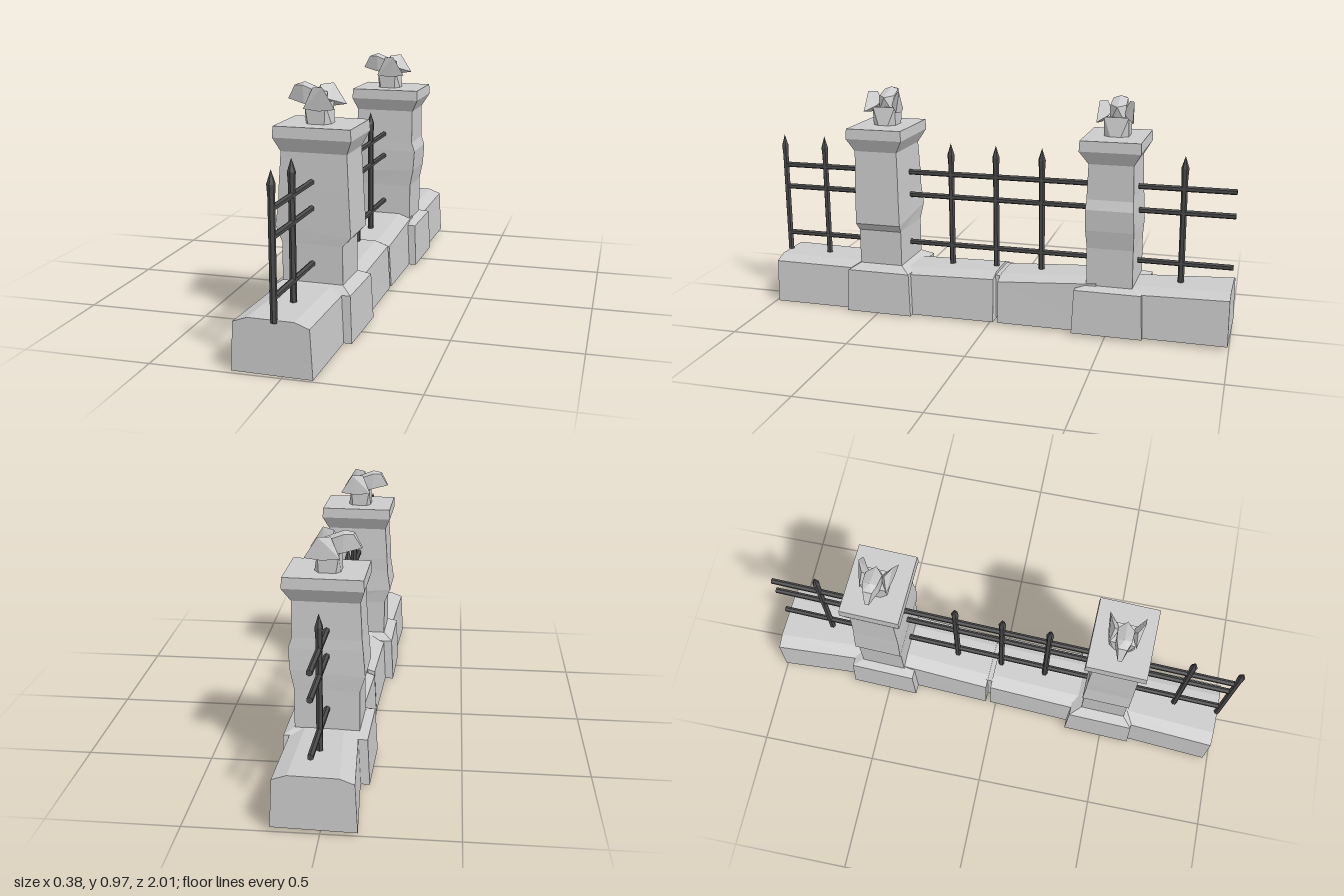
import * as THREE from 'three';
import { ConvexGeometry } from 'three/addons/geometries/ConvexGeometry.js';

const stone = new THREE.MeshStandardMaterial({ color: 0xcccccc, flatShading: true, side: THREE.DoubleSide });
const iron = new THREE.MeshStandardMaterial({ color: 0x4a4a4a, flatShading: true });

function addMesh(parent, name, geometry, material, x = 0, y = 0, z = 0) {
  const mesh = new THREE.Mesh(geometry, material);
  mesh.name = name;
  mesh.position.set(x, y, z);
  parent.add(mesh);
  return mesh;
}

// Joins matching rings of [x, y, z] points into a skin with capped ends.
function loft(rings, closed) {
  const pos = [];
  const tri = (a, b, c) => pos.push(...a, ...b, ...c);
  const n = rings[0].length;
  for (let r = 0; r < rings.length - 1; r++) {
    const a = rings[r], b = rings[r + 1];
    for (let i = 0; i < (closed ? n : n - 1); i++) {
      const j = (i + 1) % n;
      tri(a[i], a[j], b[j]);
      tri(a[i], b[j], b[i]);
    }
  }
  const first = rings[0], last = rings[rings.length - 1];
  for (let i = 1; i < n - 1; i++) {
    tri(first[0], first[i + 1], first[i]);
    tri(last[0], last[i], last[i + 1]);
  }
  const geo = new THREE.BufferGeometry();
  geo.setAttribute('position', new THREE.Float32BufferAttribute(pos, 3));
  geo.computeVertexNormals();
  return geo;
}

// Wall profile with chamfered top and open underside.
const wallRing = ([z, x0, x1, h]) => [
  [x1, 0, z], [x1 - 0.01, h - 0.02, z], [x1 - 0.065, h, z],
  [x0 + 0.065, h, z], [x0 + 0.01, h - 0.02, z], [x0, 0, z],
];

// Pillar ring: height, x range, z range, sideways lean of the course.
const pillarRing = ([y, x0, x1, z0, z1, lean = 0]) =>
  [[x1, z1], [x1, z0], [x0, z0], [x0, z1]].map(([x, z]) => [x, y + lean * x, z]);

// Carved finial: neck, beaked head and two spread wings.
function makeFinial() {
  const finial = new THREE.Group();
  finial.name = 'finial';
  const hull = (name, pts) =>
    addMesh(finial, name, new ConvexGeometry(pts.map((p) => new THREE.Vector3(...p))), stone);
  const neck = [];
  for (const s of [-1, 1]) {
    neck.push([-0.028, 0, s * 0.05], [0.035, 0, s * 0.05], [0.055, 0, s * 0.02],
      [-0.045, 0, s * 0.025], [-0.04, 0.07, s * 0.05], [0.04, 0.08, s * 0.05]);
  }
  hull('neck', neck);
  const head = [[-0.055, 0.155, 0], [0.035, 0.12, 0]];
  for (const s of [-1, 1]) {
    head.push([-0.12, 0.09, s * 0.008], [-0.09, 0.143, s * 0.018], [-0.055, 0.145, s * 0.03],
      [0, 0.125, s * 0.033], [-0.05, 0.075, s * 0.03], [0.02, 0.06, s * 0.03]);
  }
  hull('head', head);
  for (const s of [-1, 1]) {
    hull(s > 0 ? 'frontWing' : 'backWing', [
      [-0.045, 0.06, s * 0.055], [-0.01, 0.14, s * 0.045], [0.035, 0.145, s * 0.07],
      [0.085, 0.065, s * 0.073], [0.02, 0.055, s * 0.066], [0, 0.1, s * 0.025],
      [0.03, 0.085, s * 0.035],
    ]);
  }
  return finial;
}

export function createModel() {
  const model = new THREE.Group();
  model.name = 'fencedWall';
  const set = new THREE.Group();
  set.name = 'settledWall';
  // The whole wall has settled slightly out of true.
  set.rotation.set(0.0075, -0.03, 0);
  set.position.y = 0.0075;
  model.add(set);

  // Low wall blocks, rear to front: [z, left, right, height] at each end.
  const walls = [
    [[-1, -0.165, 0.15, 0.21], [-0.55, -0.125, 0.15, 0.2]],
    [[-0.46, -0.127, 0.138, 0.228], [-0.042, -0.132, 0.14, 0.2]],
    [[-0.022, -0.13, 0.14, 0.208], [0.42, -0.135, 0.145, 0.196]],
    [[0.53, -0.15, 0.138, 0.203], [0.985, -0.165, 0.14, 0.205]],
  ];
  walls.forEach((ends, i) => addMesh(set, 'wallBlock' + (i + 1), loft(ends.map(wallRing), false), stone));
  // Mortar core closing the middle joint
  addMesh(set, 'jointCore', new THREE.BoxGeometry(0.18, 0.19, 0.04), stone, 0, 0.1, -0.03);

  // Pillars: footing, worn shaft with a bulging course, flared cap.
  const frontShaft = [
    [0.21, -0.12, 0.12, -0.092, 0.098], [0.36, -0.12, 0.12, -0.092, 0.098],
    [0.41, -0.146, 0.152, -0.1, 0.1, -0.1], [0.52, -0.132, 0.146, -0.095, 0.1, 0.05],
    [0.57, -0.13, 0.144, -0.095, 0.1], [0.71, -0.12, 0.138, -0.09, 0.098],
  ];
  const backShaft = [
    [0.2, -0.125, 0.125, -0.095, 0.095], [0.36, -0.125, 0.125, -0.095, 0.095],
    [0.43, -0.145, 0.14, -0.098, 0.1, 0.05], [0.525, -0.136, 0.146, -0.095, 0.1],
    [0.565, -0.132, 0.132, -0.092, 0.098], [0.71, -0.125, 0.132, -0.09, 0.092],
  ];
  const footing = [[0, -0.17, 0.17, -0.145, 0.148], [0.185, -0.16, 0.162, -0.137, 0.14]];
  const cap = [
    [0.765, -0.142, 0.163, -0.122, 0.126], [0.808, -0.14, 0.16, -0.12, 0.124],
  ];
  for (const [name, z, shaft] of [['frontPillar', 0.485, frontShaft], ['backPillar', -0.515, backShaft]]) {
    const pillar = new THREE.Group();
    pillar.name = name;
    pillar.position.z = z;
    set.add(pillar);
    addMesh(pillar, 'masonry', loft([...footing, ...shaft, ...cap].map(pillarRing), true), stone);
    const finial = makeFinial();
    finial.position.y = 0.805;
    pillar.add(finial);
  }

  // Iron fence: three long rails and pointed posts.
  for (const y of [0.285, 0.5, 0.6]) {
    const rail = addMesh(set, 'rail', new THREE.CylinderGeometry(0.012, 0.012, 1.985, 6), iron, 0, y, -0.006);
    rail.rotation.x = Math.PI / 2;
  }
  const postProfile = [[0, 0.195], [0.013, 0.195], [0.013, 0.64], [0.016, 0.685], [0, 0.735]]
    .map(([r, y]) => new THREE.Vector2(r, y));
  for (const z of [0.983, 0.79, 0.2, 0, -0.2, -0.79]) {
    addMesh(set, 'post', new THREE.LatheGeometry(postProfile, 6), iron, 0, 0, z);
  }
  return model;
}
